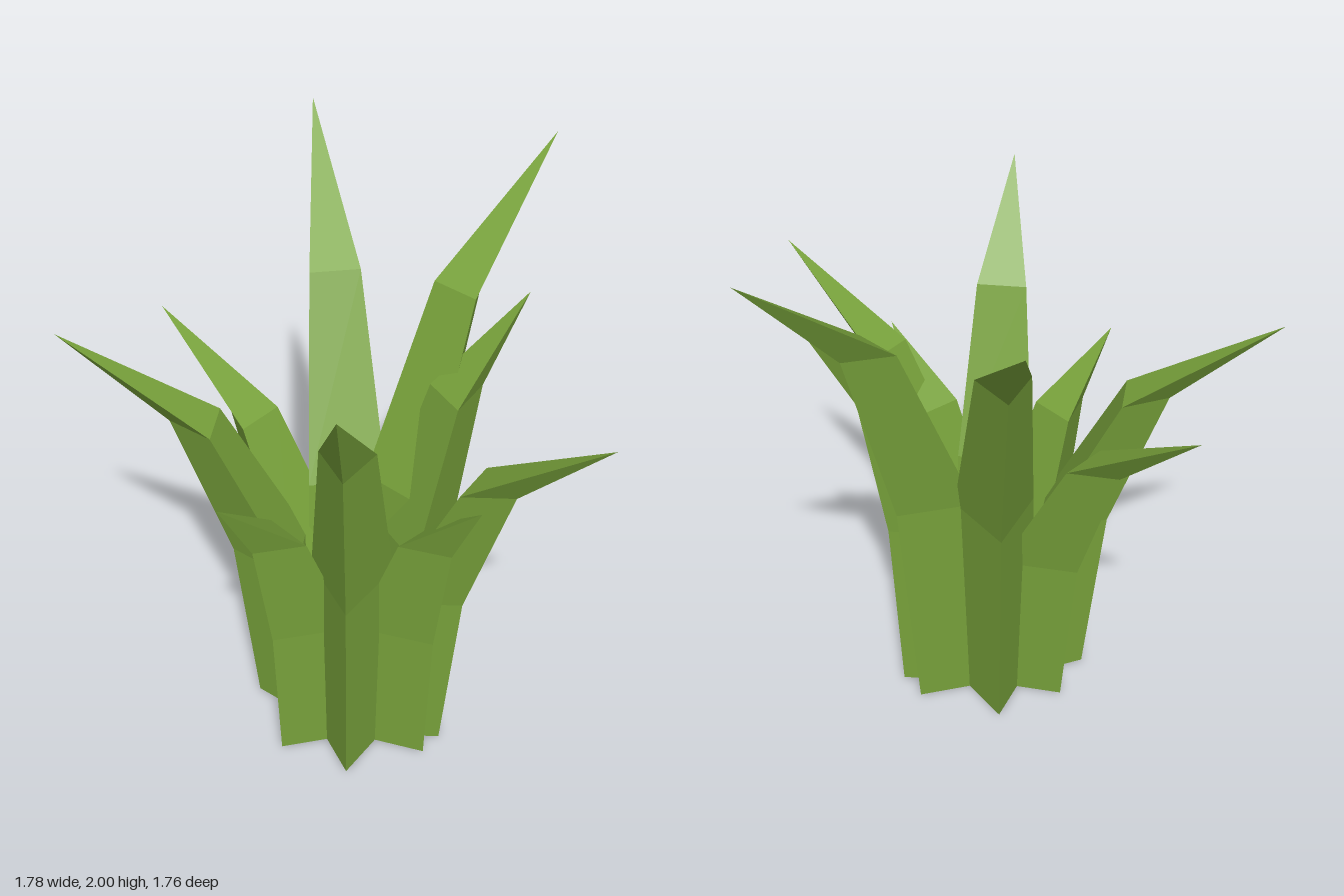
import * as THREE from 'three';

// Centre of the clump on the ground
const CENTRE = { x: 0, z: 0.168 };

// Tip position of each leaf blade: x, y, z
const TIPS = [
  [0.21, 1.98, -0.885], [0.89, 2.0, -0.29], [0.65, 1.62, 0.07],
  [0.55, 1.55, 0.88], [0.22, 1.255, 0.69], [-0.3, 1.81, 0.81],
  [-0.55, 1.255, 0.4], [-0.89, 1.57, -0.28], [-0.46, 1.4, -0.61],
];

// Rings of a blade from base to tip: share of height, share of lean, radius
const RINGS = [
  { h: 0, lean: 0, r: 0.187 },
  { h: 0.45, lean: 0.12, r: 0.162 },
  { h: 0.8, lean: 0.43, r: 0.104 },
  { h: 1, lean: 1, r: 0 },
];
const BASE_OFFSET = 0.182;

// Three-sided blade with its keel facing outwards (+z), bending away from the centre
function bladeGeometry(height, reach) {
  const cone = new THREE.ConeGeometry(1, 1, 3, 3);
  const pos = cone.attributes.position;
  for (let i = 0; i < pos.count; i++) {
    const t = pos.getY(i) + 0.5;
    const ring = RINGS[Math.round(t * 3)];
    const scale = t > 0.99 ? 0 : ring.r / (1 - t);
    const out = BASE_OFFSET + ring.lean * (reach - BASE_OFFSET);
    pos.setXYZ(i, pos.getX(i) * scale, ring.h * height, pos.getZ(i) * scale + out);
  }
  const geometry = cone.toNonIndexed();
  geometry.computeVertexNormals();
  return geometry;
}

export function createModel() {
  const group = new THREE.Group();
  group.name = 'grassClump';
  const leafGreen = new THREE.MeshStandardMaterial({ color: 0x78a23b, flatShading: true });
  leafGreen.name = 'leaf green';

  // Blades fanned around the centre
  TIPS.forEach(([x, y, z], i) => {
    const dx = x - CENTRE.x, dz = z - CENTRE.z;
    const blade = new THREE.Mesh(bladeGeometry(y, Math.hypot(dx, dz)), leafGreen);
    blade.name = `leafBlade${i + 1}`;
    blade.position.set(CENTRE.x, 0, CENTRE.z);
    blade.rotation.y = Math.atan2(dx, dz);
    group.add(blade);
  });
  return group;
}
